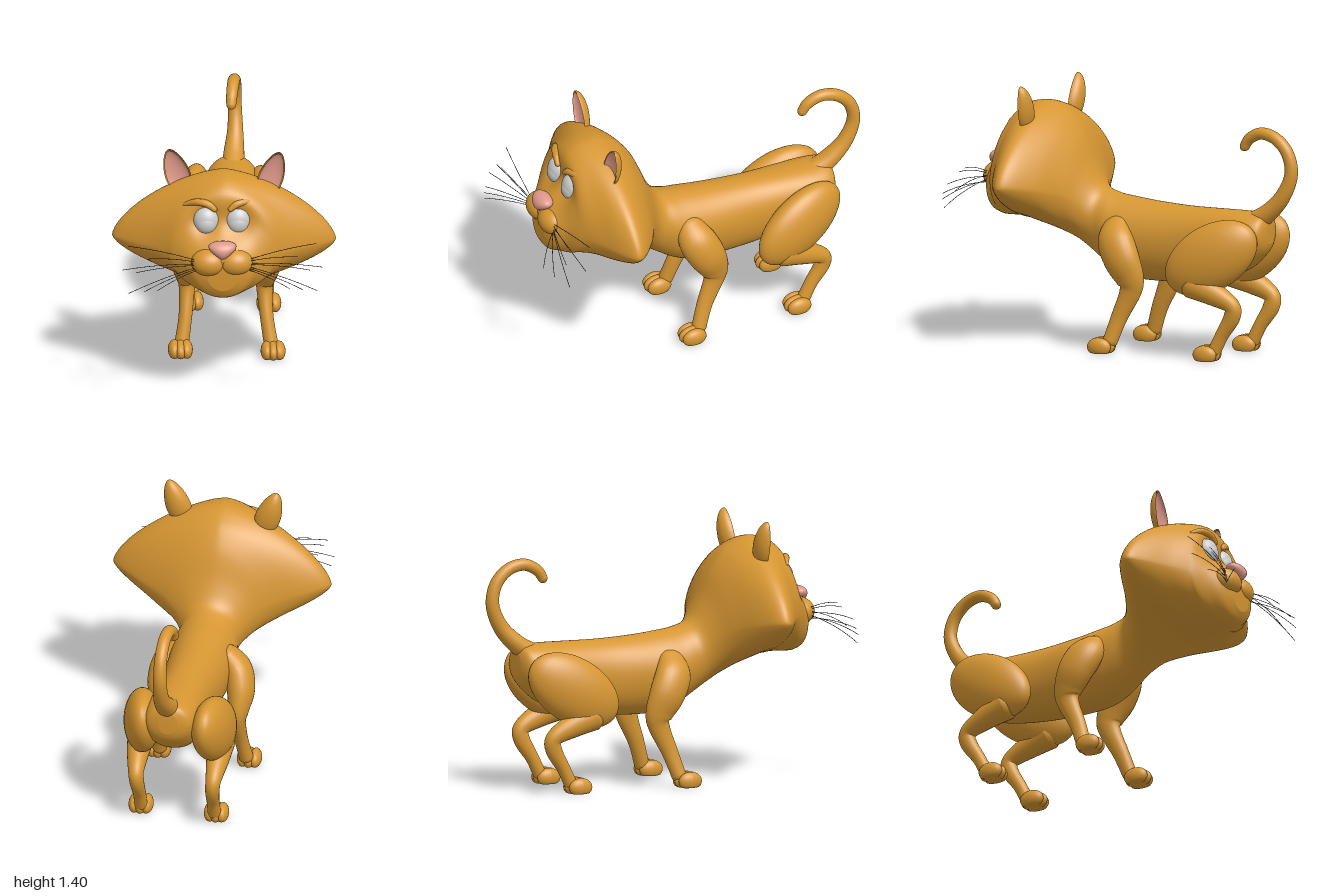
import * as THREE from 'three';
import { mergeVertices } from 'three/addons/utils/BufferGeometryUtils.js';

const mat = (color) => new THREE.MeshStandardMaterial({ color, side: THREE.DoubleSide });
const fur = mat(0xd69632), pink = mat(0xe0998a), grey = mat(0xcccccc), dark = mat(0x2b3040);

// Smoothly samples rows of numbers (Catmull-Rom), `steps` samples per span
function smoothRows(rows, steps) {
  const out = [], n = rows.length - 1;
  for (let k = 0; k <= n * steps; k++) {
    const i = Math.min(Math.floor(k / steps), n - 1), t = k / steps - i;
    const a = rows[Math.max(i - 1, 0)], b = rows[i], c = rows[i + 1], d = rows[Math.min(i + 2, n)];
    out.push(b.map((v, m) => {
      const cubic = 3 * (v - c[m]) + d[m] - a[m];
      const square = 2 * a[m] - 5 * v + 4 * c[m] - d[m];
      return v + 0.5 * t * (c[m] - a[m] + t * (square + t * cubic));
    }));
  }
  return out;
}

// Closed skin over rings of points; the first and last ring collapse to a point
function skin(rings) {
  const n = rings[0].length, index = [];
  for (let i = 0; i < rings.length - 1; i++) {
    for (let j = 0; j < n; j++) {
      const a = i * n + j, b = i * n + ((j + 1) % n);
      index.push(a, b, b + n, a, b + n, a + n);
    }
  }
  let g = new THREE.BufferGeometry().setFromPoints(rings.flat());
  g.setIndex(index);
  g = mergeVertices(g, 1e-5);
  g.computeVertexNormals();
  return g;
}

// Limb along rows of [x, y, z, sideways radius, in-plane radius]
function limbGeometry(rows, sides = 24) {
  const s = smoothRows(rows, 8), P = s.map((r) => new THREE.Vector3(r[0], r[1], r[2]));
  const rings = s.map((r, i) => {
    const T = P[Math.min(i + 1, P.length - 1)].clone().sub(P[Math.max(i - 1, 0)]).normalize();
    const U = new THREE.Vector3(1, 0, 0).addScaledVector(T, -T.x).normalize();
    const V = T.clone().cross(U);
    return Array.from({ length: sides }, (_, j) => {
      const a = (j / sides) * Math.PI * 2;
      return P[i].clone().addScaledVector(U, r[3] * Math.cos(a)).addScaledVector(V, r[4] * Math.sin(a));
    });
  });
  // rounded ends
  const cap = (i, inner) => {
    const c = P[i], dir = c.clone().sub(P[inner]).normalize(), r = s[i][3];
    return [[0.8, 0.4], [0.45, 0.7], [0, 0.8]].map(([k, h]) =>
      rings[i].map((p) => c.clone().lerp(p, k).addScaledVector(dir, r * h)));
  };
  const last = P.length - 1;
  return skin([...cap(0, 1).reverse(), ...rings, ...cap(last, last - 1)]);
}

function add(parent, name, geometry, material, pos = [0, 0, 0], scale = [1, 1, 1]) {
  const m = new THREE.Mesh(geometry, material);
  m.name = name;
  m.position.set(...pos);
  m.scale.set(...scale);
  parent.add(m);
  return m;
}

const EYES = [[-0.1, 1.07], [0.068, 1.07]];

// Body, neck and head in one skin: z, centre x, half width, top, widest y, bottom, roundness
function bodyGeometry() {
  const rows = [
    [-0.83, 0.09, 0.05, 0.74, 0.68, 0.62, 2], [-0.8, 0.09, 0.12, 0.78, 0.67, 0.56, 2],
    [-0.7, 0.085, 0.15, 0.785, 0.64, 0.47, 2.2], [-0.55, 0.075, 0.15, 0.785, 0.62, 0.42, 2.2],
    [-0.35, 0.06, 0.15, 0.785, 0.6, 0.385, 2.1], [-0.15, 0.045, 0.165, 0.795, 0.6, 0.37, 2],
    [0, 0.035, 0.175, 0.81, 0.6, 0.38, 2], [0.1, 0.03, 0.17, 0.825, 0.63, 0.42, 2],
    [0.18, 0.02, 0.16, 0.86, 0.68, 0.47, 2], [0.24, 0.01, 0.2, 0.96, 0.76, 0.51, 1.8],
    [0.3, 0, 0.3, 1.11, 0.83, 0.55, 1.6], [0.37, 0, 0.45, 1.21, 0.87, 0.59, 1.5],
    [0.44, 0, 0.56, 1.26, 0.89, 0.625, 1.5], [0.5, 0, 0.59, 1.285, 0.89, 0.65, 1.5],
    [0.56, 0, 0.52, 1.285, 0.89, 0.655, 1.55], [0.63, -0.005, 0.4, 1.265, 0.89, 0.66, 1.6],
    [0.69, -0.01, 0.31, 1.21, 0.89, 0.66, 1.8], [0.72, -0.015, 0.27, 1.1, 0.88, 0.66, 2],
    [0.76, -0.02, 0.21, 1.01, 0.87, 0.66, 2], [0.81, -0.02, 0.15, 0.95, 0.83, 0.68, 2],
    [0.84, -0.02, 0.08, 0.9, 0.82, 0.73, 2],
  ];
  const sides = 72, pw = (v, e) => Math.sign(v) * Math.pow(Math.abs(v), e);
  const rings = smoothRows(rows, 6).map(([z, cx, w, top, mid, bot, p]) =>
    Array.from({ length: sides }, (_, j) => {
      const a = (j / sides) * Math.PI * 2, s = pw(Math.sin(a), 2 / p);
      const x = cx + w * pw(Math.cos(a), 2 / p), y = mid + s * (s > 0 ? top - mid : mid - bot);
      // the head is turned slightly to its right
      let zz = z + 0.076 * (x - cx) * THREE.MathUtils.smoothstep(z, 0.2, 0.45);
      // eye sockets
      if (z > 0.6) for (const [ex, ey] of EYES) zz -= 0.045 * Math.exp(-((x - ex) ** 2 + (y - ey) ** 2) / 0.005);
      return new THREE.Vector3(x, y, zz);
    }));
  const pole = (r) => {
    const c = r.reduce((a, p) => a.add(p), new THREE.Vector3()).divideScalar(sides);
    return r.map(() => c.clone());
  };
  return skin([pole(rings[0]), ...rings, pole(rings[rings.length - 1])]);
}

// Paw of three toes with a flat sole
function paw(parent, name, x, z) {
  const group = new THREE.Group();
  group.name = name;
  for (const t of [-1, 0, 1]) {
    const g = new THREE.SphereGeometry(1, 20, 14);
    g.scale(0.034, 0.05, t ? 0.068 : 0.076);
    const p = g.attributes.position;
    for (let i = 0; i < p.count; i++) p.setY(i, Math.max(p.getY(i) + 0.034, 0));
    g.computeVertexNormals();
    add(group, 'toe', g, fur, [x + t * 0.032, 0, z]);
  }
  parent.add(group);
}

// Cupped half leaf for the ears
function leafGeometry(w, h, d) {
  const g = new THREE.SphereGeometry(1, 24, 20, Math.PI, Math.PI), p = g.attributes.position;
  for (let i = 0; i < p.count; i++) {
    const y = p.getY(i);
    p.setXYZ(i, p.getX(i) * w * (1 - 0.25 * y), y * h, p.getZ(i) * d);
  }
  g.computeVertexNormals();
  return g;
}

export function createModel() {
  const cat = new THREE.Group();
  cat.name = 'cat';
  const ball = new THREE.SphereGeometry(1, 32, 24);
  add(cat, 'bodyAndHead', bodyGeometry(), fur);

  add(cat, 'tail', limbGeometry([
    [0.09, 0.72, -0.72, 0.06, 0.06], [0.1, 0.785, -0.82, 0.055, 0.05], [0.11, 0.88, -0.91, 0.042, 0.042],
    [0.11, 1.0, -0.96, 0.036, 0.036], [0.11, 1.11, -0.94, 0.034, 0.034], [0.105, 1.185, -0.87, 0.033, 0.033],
    [0.095, 1.208, -0.78, 0.032, 0.032], [0.085, 1.175, -0.705, 0.03, 0.03], [0.08, 1.125, -0.67, 0.026, 0.026],
  ]), fur);

  for (const s of [1, -1]) {
    const side = s > 0 ? 'left' : 'right', dz = s > 0 ? 0 : -0.035;
    const place = (cx, rows) => rows.map(([x, y, z, u, v]) => [cx + s * x, y, z + dz, u, v]);

    // front leg
    add(cat, side + 'FrontLeg', limbGeometry(place(0.03, [
      [0.13, 0.68, 0.04, 0.05, 0.07], [0.19, 0.6, 0.02, 0.075, 0.1], [0.215, 0.5, -0.03, 0.075, 0.1],
      [0.21, 0.4, -0.075, 0.055, 0.08], [0.205, 0.33, -0.075, 0.043, 0.06],
      [0.215, 0.19, -0.015, 0.036, 0.045], [0.235, 0.06, 0.03, 0.038, 0.04],
    ])), fur);
    paw(cat, side + 'FrontPaw', 0.03 + s * 0.245, 0.075 + dz);

    // hind leg
    const thigh = add(cat, side + 'Thigh', ball, fur, [0.07 + s * 0.195, 0.55, -0.565 + dz], [0.1, 0.172, 0.28]);
    thigh.rotation.set(0.56, s * 0.15, 0, 'YXZ');
    add(cat, side + 'HindLeg', limbGeometry(place(0.07, [
      [0.215, 0.41, -0.46, 0.075, 0.08], [0.215, 0.365, -0.58, 0.06, 0.065], [0.21, 0.305, -0.69, 0.042, 0.045],
      [0.205, 0.24, -0.69, 0.038, 0.045], [0.2, 0.14, -0.63, 0.034, 0.036], [0.2, 0.05, -0.585, 0.036, 0.036],
    ])), fur);
    paw(cat, side + 'HindPaw', 0.07 + s * 0.205, -0.545 + dz);

    // ear with a pink lining
    const ear = new THREE.Group();
    ear.name = side + 'Ear';
    add(ear, 'earShell', leafGeometry(0.066, 0.13, 0.055), fur);
    add(ear, 'earLining', leafGeometry(0.06, 0.122, 0.03), pink);
    ear.position.set(s * 0.253, 1.272, 0.515 + s * 0.03);
    ear.rotation.z = -s * 0.33;
    cat.add(ear);

    // eye, brow and whisker pad
    const [ex, ey] = EYES[s > 0 ? 1 : 0];
    add(cat, side + 'Eye', ball, grey, [ex, ey, 0.675], [0.07, 0.076, 0.06]);
    add(cat, side + 'Iris', ball, grey, [ex, ey - 0.012, 0.69], [0.059, 0.06, 0.05]);
    add(cat, side + 'Brow', limbGeometry([
      [-0.015 + s * 0.04, 1.14, 0.705, 0.014, 0.014], [-0.015 + s * 0.08, 1.17, 0.695, 0.02, 0.018],
      [-0.015 + s * 0.14, 1.172, 0.67, 0.02, 0.018], [-0.015 + s * 0.2, 1.145, 0.64, 0.01, 0.01],
    ].sort((p, q) => p[0] - q[0]), 12), fur);
    add(cat, side + 'WhiskerPad', ball, fur, [-0.02 + s * 0.07, 0.875, 0.785], [0.095, 0.075, 0.08]);

    // whiskers fan out to end points
    const ends = [[0.5, 0.97, 0.78], [0.4, 0.93, 0.86], [0.53, 0.85, 0.82], [0.46, 0.87, 0.9],
      [0.5, 0.75, 0.9], [0.42, 0.78, 0.95], [0.35, 0.8, 0.98]];
    ends.forEach(([x, y, z], i) => {
      const a = new THREE.Vector3(-0.02 + s * 0.13, 0.895 - i * 0.009, 0.815);
      const b = new THREE.Vector3(-0.02 + s * x, y, z);
      const m = a.clone().lerp(b, 0.5).add(new THREE.Vector3(0, 0.025, 0.015));
      const curve = new THREE.QuadraticBezierCurve3(a, m, b);
      add(cat, side + 'Whisker', new THREE.TubeGeometry(curve, 12, 0.0016, 5), dark);
    });
  }

  // chin and nose
  add(cat, 'chin', ball, fur, [-0.02, 0.745, 0.765], [0.095, 0.08, 0.062]);
  const nose = new THREE.SphereGeometry(1, 28, 20), np = nose.attributes.position;
  for (let i = 0; i < np.count; i++) np.setX(i, np.getX(i) * (0.75 + 0.5 * np.getY(i)));
  nose.computeVertexNormals();
  add(cat, 'nose', nose, pink, [-0.02, 0.952, 0.81], [0.085, 0.05, 0.055]);
  return cat;
}
